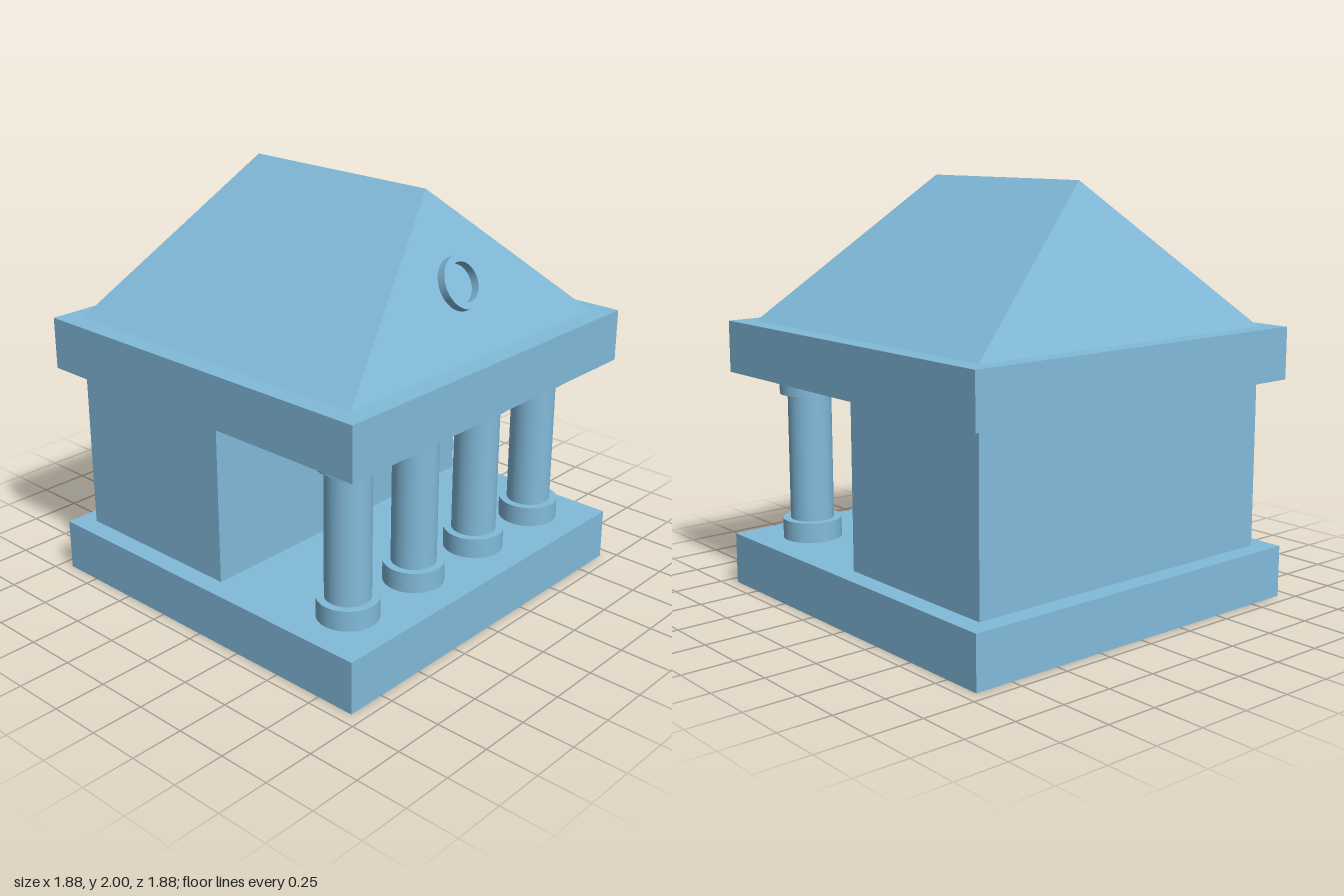
import * as THREE from 'three';

export function createModel() {
  const group = new THREE.Group();
  group.name = 'temple';
  const blue = new THREE.MeshStandardMaterial({ color: 0x82bbdb });
  blue.name = 'sky blue';

  const add = (name, geometry, x, y, z, parent = group) => {
    const mesh = new THREE.Mesh(geometry, blue);
    mesh.name = name;
    mesh.position.set(x, y, z);
    parent.add(mesh);
    return mesh;
  };

  // Base slab, entablature slab and the closed hall at the back
  add('baseSlab', new THREE.BoxGeometry(1.88, 0.25, 1.88), 0, 0.125, 0);
  add('entablature', new THREE.BoxGeometry(1.88, 0.25, 1.88), 0, 1.187, 0);
  add('hall', new THREE.BoxGeometry(1.69, 0.812, 0.898), 0, 0.656, -0.396);

  // Front row of columns, each with a foot, shaft and capital
  const ringBlock = new THREE.CylinderGeometry(0.142, 0.142, 0.097, 48);
  const shaft = new THREE.CylinderGeometry(0.105, 0.105, 0.622, 48);
  for (let i = 0; i < 4; i++) {
    const column = new THREE.Group();
    column.name = `column${i + 1}`;
    column.position.set(-0.665 + i * 0.4433, 0, 0.67);
    add('columnFoot', ringBlock, 0, 0.2985, 0, column);
    add('columnShaft', shaft, 0, 0.658, 0, column);
    add('columnCapital', ringBlock, 0, 1.0155, 0, column);
    group.add(column);
  }

  // Hipped roof: rectangular eaves rising to a ridge along z
  const eave = 0.845, eaveY = 1.312, ridgeY = 2, ridgeZ = 0.513;
  const fl = [eave, eaveY, eave], fr = [-eave, eaveY, eave];
  const bl = [eave, eaveY, -eave], br = [-eave, eaveY, -eave];
  const rf = [0, ridgeY, ridgeZ], rb = [0, ridgeY, -ridgeZ];
  const faces = [
    fr, fl, rf, // front hip
    bl, br, rb, // back hip
    fl, bl, rb, fl, rb, rf, // left slope
    br, fr, rf, br, rf, rb, // right slope
    fl, fr, br, fl, br, bl, // underside
  ];
  const roof = new THREE.BufferGeometry();
  roof.setAttribute('position', new THREE.Float32BufferAttribute(faces.flat(), 3));
  roof.computeVertexNormals();
  add('roof', roof, 0, 0, 0);

  // Round window frame lying on the front hip
  const frameShape = new THREE.Shape().absarc(0, 0, 0.122, 0, Math.PI * 2);
  frameShape.holes.push(new THREE.Path().absarc(0, 0, 0.09, 0, Math.PI * 2, true));
  const frame = new THREE.ExtrudeGeometry(frameShape, { depth: 0.04, bevelEnabled: false, curveSegments: 48 });
  const frameY = 1.611;
  const slope = (eave - ridgeZ) / (ridgeY - eaveY);
  const window = add('windowFrame', frame, 0, frameY, eave - (frameY - eaveY) * slope);
  window.rotation.x = -Math.atan(slope);

  return group;
}
